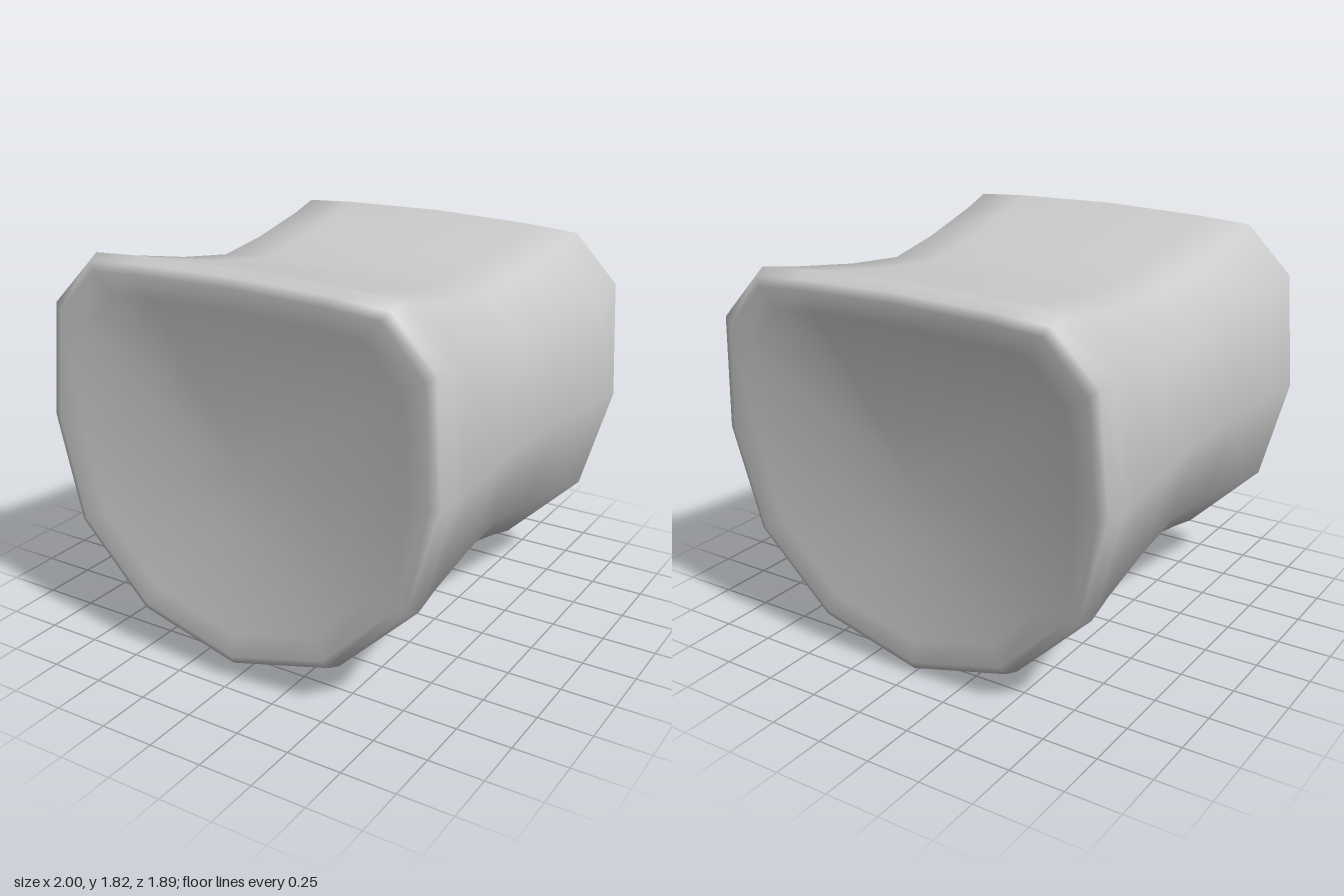
import * as THREE from 'three';

// Right half of the cross-section, from bottom centre to top centre
const HALF = [[0, -0.88], [0.5, -0.747], [0.863, -0.39], [1, 0.1], [0.962, 0.635], [0.75, 0.852], [0.5, 0.868], [0, 0.88]];
const OUTLINE = [...HALF, ...HALF.slice(1, -1).reverse().map(([x, y]) => [-x, y])];

// Rings of one half, from dished end plate over the rim to the waist: [z, scale x, scale y]
const FRONT = [
  [0.84, 0.3, 0.3],
  [0.868, 0.6, 0.6],
  [0.9, 0.82, 0.82],
  [0.918, 0.93, 0.93],
  [0.9, 0.972, 0.975],
  [0.835, 1, 1],
  [0.67, 0.977, 0.955],
  [0.3, 0.94, 0.875],
];
const RINGS = [...FRONT, [0, 0.92, 0.832], ...FRONT.map(([z, a, b]) => [-z, a, b]).reverse()];

function loft(rings, outline, tipZ) {
  const n = outline.length;
  const pos = [];
  const index = [];
  for (const [z, sx, sy] of rings) for (const [x, y] of outline) pos.push(x * sx, y * sy, z);
  const front = rings.length * n;
  const back = front + 1;
  pos.push(0, 0, tipZ, 0, 0, -tipZ);
  for (let j = 0; j < n; j++) {
    const k = (j + 1) % n;
    for (let i = 0; i < rings.length - 1; i++) {
      const a = i * n + j, b = i * n + k;
      index.push(a, a + n, b, b, a + n, b + n);
    }
    // end plate centres
    const last = (rings.length - 1) * n;
    index.push(front, j, k, back, last + k, last + j);
  }
  const geometry = new THREE.BufferGeometry();
  geometry.setAttribute('position', new THREE.Float32BufferAttribute(pos, 3));
  geometry.setIndex(index);
  geometry.computeVertexNormals();
  return geometry;
}

export function createModel() {
  const group = new THREE.Group();
  group.name = 'waistedBlock';
  const material = new THREE.MeshStandardMaterial({ color: 0xcccccc });
  const body = new THREE.Mesh(loft(RINGS, OUTLINE, 0.83), material);
  body.name = 'body';
  // slight tilt, front end raised
  body.rotation.x = -0.036;
  body.position.y = 0.912;
  group.add(body);
  return group;
}
